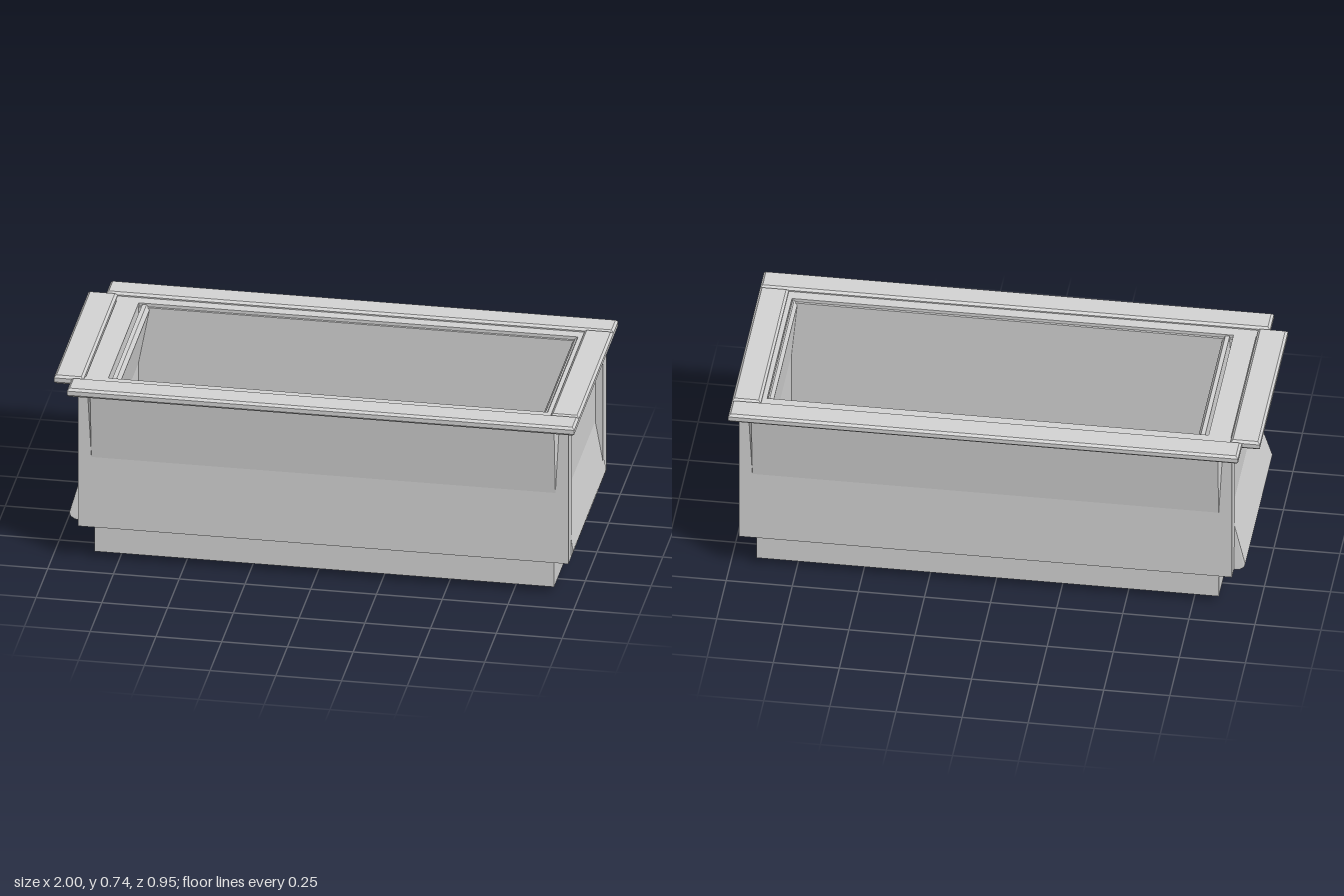
import * as THREE from 'three';
import { ConvexGeometry } from 'three/addons/geometries/ConvexGeometry.js';

export function createModel() {
  const root = new THREE.Group();
  root.name = 'planterBox';
  const grey = new THREE.MeshStandardMaterial({ color: 0xd2d2d2 });
  grey.name = 'lightGrey';

  const add = (name, geometry) => {
    const mesh = new THREE.Mesh(geometry, grey);
    mesh.name = name;
    root.add(mesh);
    return mesh;
  };
  const convex = (name, points) =>
    add(name, new ConvexGeometry(points.map((p) => new THREE.Vector3(...p))));
  const plan = (points) => points.map(([x, z]) => new THREE.Vector2(x, -z));

  // Extrudes an x/z plan upward from y0 to y1
  const extrudeUp = (shape, y0, y1, bevel = 0) => {
    const g = new THREE.ExtrudeGeometry(shape, {
      depth: y1 - y0 - 2 * bevel, bevelEnabled: bevel > 0, bevelSegments: 1,
      bevelSize: bevel, bevelThickness: bevel, bevelOffset: -bevel,
    });
    g.rotateX(-Math.PI / 2);
    g.translate(0, y0 + bevel, 0);
    return g;
  };

  // Open box body: corner posts with a recessed panel at each end
  const body = new THREE.Shape(plan([
    [-0.9, 0.409], [0.964, 0.409], [0.964, 0.33], [0.935, 0.33],
    [0.935, -0.33], [0.964, -0.33], [0.964, -0.409], [-0.9, -0.409],
    [-0.9, -0.33], [-0.885, -0.33], [-0.885, 0.33], [-0.9, 0.33],
  ]));
  body.holes.push(new THREE.Path(plan([
    [-0.8, 0.326], [-0.8, -0.326], [0.87, -0.326], [0.87, 0.326],
  ])));
  add('body', extrudeUp(body, 0.143, 0.728));

  // Plinth, which also closes the floor
  add('plinth', new THREE.BoxGeometry(1.748, 0.125, 0.746)).position.set(0.029, 0.0875, 0);

  // Hexagonal feet
  for (const x of [-0.61, 0.672]) for (const z of [-0.257, 0.257]) {
    const foot = add('foot', new THREE.CylinderGeometry(0.048, 0.048, 0.03, 6).toNonIndexed());
    foot.geometry.computeVertexNormals();
    foot.position.set(x, 0.015, z);
  }

  // Chamfered rim bars
  const bar = (name, x0, x1, z0, z1) => add(name, extrudeUp(
    new THREE.Shape(plan([[x0, z1], [x1, z1], [x1, z0], [x0, z0]])), 0.707, 0.742, 0.009));
  bar('frontRim', -0.932, 0.997, 0.37, 0.473);
  bar('backRim', -0.932, 0.997, -0.473, -0.37);
  bar('rightRim', -1, -0.888, -0.37, 0.37);
  bar('leftRim', 0.888, 0.997, -0.37, 0.37);

  for (const s of [1, -1]) {
    // Flared panels under the long rims
    convex('sideFlare', [
      [-0.867, 0.71, s * 0.405], [0.931, 0.71, s * 0.405],
      [-0.85, 0.71, s * 0.437], [0.914, 0.71, s * 0.437],
      [-0.85, 0.435, s * 0.4093], [0.914, 0.435, s * 0.4093],
      [-0.85, 0.435, s * 0.405], [0.914, 0.435, s * 0.405],
    ]);
    // Upright liners along the long walls, stopping just below the top
    add('sideLiner', new THREE.BoxGeometry(1.68, 0.57, 0.02)).position.set(0.035, 0.43, s * 0.327);
  }

  // Convex end panel from [x, y, halfWidth] points
  const endPanel = (name, profile) =>
    convex(name, profile.flatMap(([x, y, half]) => [[x, y, -half], [x, y, half]]));

  // Flared kick panels low on the ends
  endPanel('rightKickPanel', [
    [-0.885, 0.38, 0.33], [-0.943, 0.172, 0.357], [-0.938, 0.158, 0.36],
    [-0.92, 0.146, 0.36], [-0.885, 0.146, 0.36], [-0.885, 0.172, 0.357],
  ]);
  endPanel('leftKickPanel', [
    [0.935, 0.38, 0.33], [0.972, 0.172, 0.357], [0.97, 0.16, 0.36],
    [0.955, 0.146, 0.36], [0.935, 0.146, 0.36], [0.935, 0.172, 0.357],
  ]);

  // Leaning inner lips at the ends, leaving a narrow groove behind
  endPanel('rightLip', [
    [-0.8, 0.48, 0.324], [-0.786, 0.724, 0.324], [-0.77, 0.724, 0.324], [-0.758, 0.705, 0.324],
  ]);
  endPanel('leftLip', [
    [0.87, 0.48, 0.324], [0.867, 0.724, 0.324], [0.861, 0.724, 0.324], [0.849, 0.705, 0.324],
  ]);

  return root;
}
